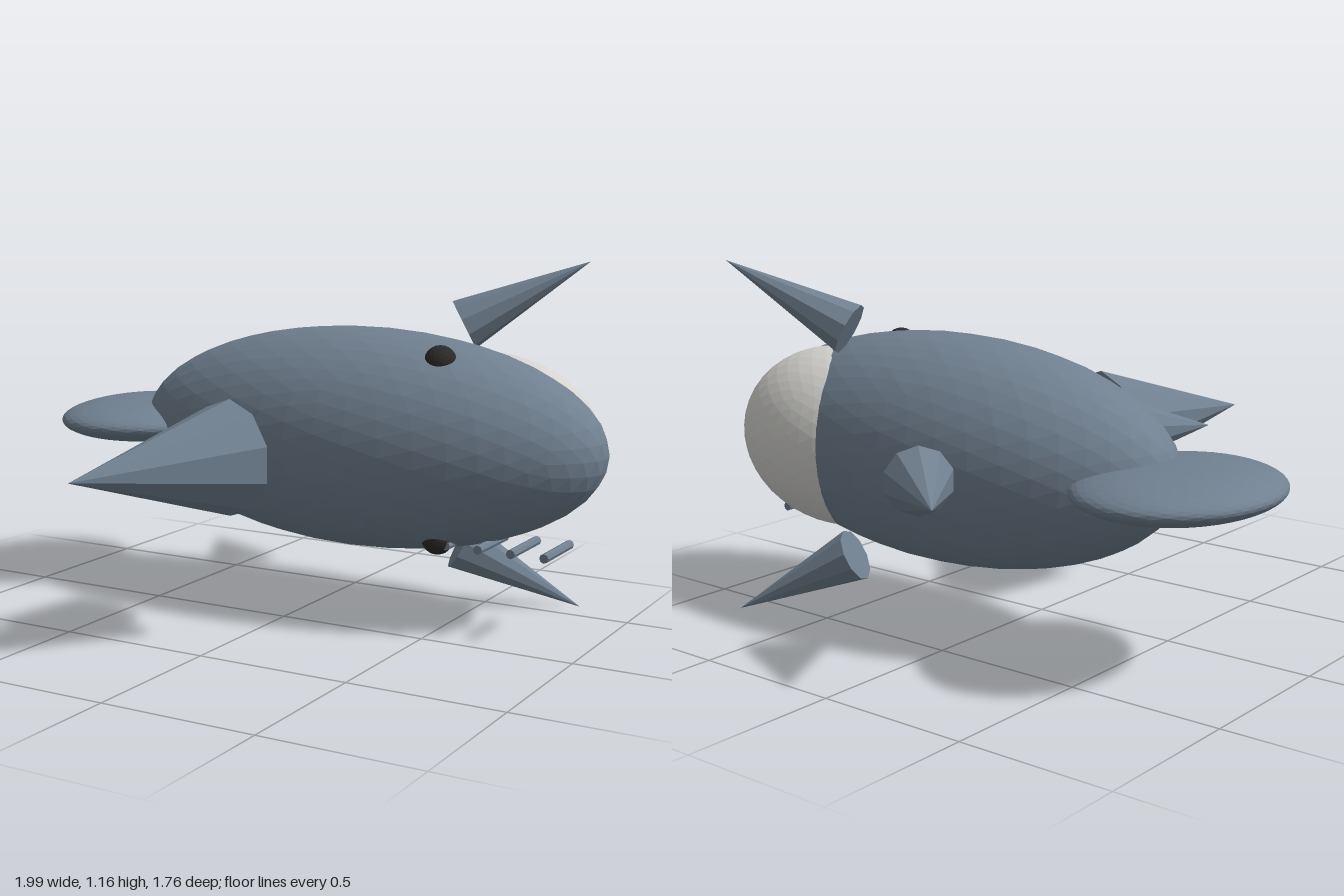
import * as THREE from 'three';

const material = (name, color) => {
  const m = new THREE.MeshStandardMaterial({ color, flatShading: true });
  m.name = name;
  return m;
};

export function createModel() {
  const model = new THREE.Group();
  model.name = 'fish';
  const slate = material('slateSkin', 0x708090);
  const pale = material('paleBelly', 0xd3d2ce);
  const dark = material('darkEye', 0x2b2a28);
  const midY = 0.588; // height of the body's plane of symmetry

  const add = (name, geometry, mat, position) => {
    const mesh = new THREE.Mesh(geometry, mat);
    mesh.name = name;
    mesh.position.set(...position);
    model.add(mesh);
    return mesh;
  };

  // Faceted ellipsoid
  const ellipsoid = (name, mat, position, radii, detail = 7) =>
    add(name, new THREE.IcosahedronGeometry(1, detail).scale(...radii), mat, position);

  // Ten-sided cone from the centre of its base to its tip
  const cone = (name, base, tip, radius) => {
    const a = new THREE.Vector3(...base);
    const b = new THREE.Vector3(...tip);
    const length = a.distanceTo(b);
    const geometry = new THREE.ConeGeometry(radius, length, 10);
    geometry.translate(0, length / 2, 0).rotateX(Math.PI / 2);
    add(name, geometry, slate, base).lookAt(b);
  };

  // Body, pale belly patch and flat tail
  ellipsoid('body', slate, [0.155, midY, -0.26], [0.84, 0.364, 0.354]);
  ellipsoid('belly', pale, [0.55, midY, -0.35], [0.39, 0.295, 0.255]);
  ellipsoid('tail', slate, [-0.7, midY, -0.26], [0.3, 0.075, 0.354]);

  // Fins on the plane of symmetry
  cone('largeDorsalFin', [-0.014, midY, 0.305], [-0.195, midY, 0.877], 0.183);
  cone('smallDorsalFin', [-0.078, midY, 0.184], [-0.308, midY, 0.52], 0.148);
  cone('ventralFin', [-0.064, midY, -0.663], [-0.313, midY, -0.886], 0.107);

  // Mirrored side fins and eyes
  for (const [side, s] of [['upper', 1], ['lower', -1]]) {
    cone(side + 'SideFin', [0.437, midY + s * 0.37, -0.425], [0.8, midY + s * 0.579, -0.605], 0.087);
    ellipsoid(side + 'Eye', dark, [0.49, midY + s * 0.283, -0.13], [0.052, 0.052, 0.052], 3);
  }

  // Row of gill bars on one side
  for (let i = 0; i < 4; i++) {
    const bar = new THREE.CylinderGeometry(0.015, 0.015, 0.22, 8).rotateX(Math.PI / 2);
    add('gillBar' + (i + 1), bar, slate, [0.53 + i * 0.11, 0.29, -0.214]);
  }

  return model;
}
